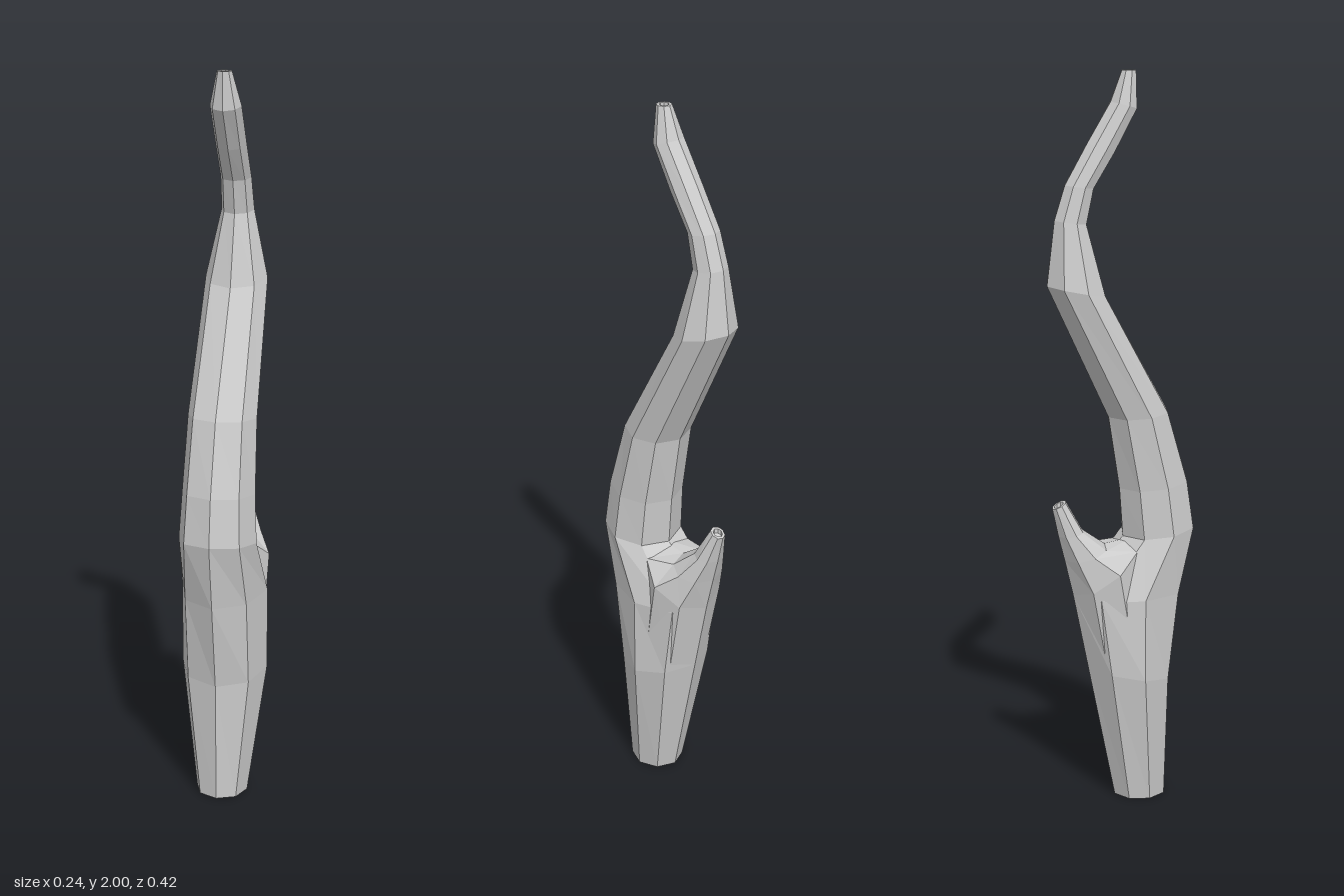
import * as THREE from 'three';

const SIDES = 8;
const material = new THREE.MeshStandardMaterial({ color: 0xcccccc, flatShading: true });

// Each ring is [front z, front y, back z, back y, half width]; a half width of 0 is a closing point.
function loft(name, rings) {
  const pos = [], index = [];
  for (const [fz, fy, bz, by, w] of rings) {
    for (let j = 0; j < SIDES; j++) {
      const a = (j / SIDES) * Math.PI * 2, t = (1 - Math.cos(a)) / 2;
      pos.push(w * Math.sin(a), fy + (by - fy) * t, fz + (bz - fz) * t);
    }
  }
  for (let i = 0; i < rings.length - 1; i++) {
    for (let j = 0; j < SIDES; j++) {
      const k = (j + 1) % SIDES;
      const a = i * SIDES + j, b = i * SIDES + k, c = b + SIDES, d = a + SIDES;
      if (rings[i][4] > 0) index.push(a, b, d);
      if (rings[i + 1][4] > 0) index.push(b, c, d);
      // a closing point needs the one triangle that keeps its outer edge
      if (rings[i][4] === 0) index.splice(index.length - 3, 3, a, c, d);
    }
  }
  const indexed = new THREE.BufferGeometry();
  indexed.setAttribute('position', new THREE.Float32BufferAttribute(pos, 3));
  indexed.setIndex(index);
  const geometry = indexed.toNonIndexed();
  geometry.computeVertexNormals();
  const mesh = new THREE.Mesh(geometry, material);
  mesh.name = name;
  return mesh;
}

// Shrunken copy of a ring, shifted in y, for rims and recessed ends.
function inset([fz, fy, bz, by, w], scale, dy = 0) {
  const z = (fz + bz) / 2, y = (fy + by) / 2;
  const s = (v, c) => c + (v - c) * scale;
  return [s(fz, z), s(fy, y) + dy, s(bz, z), s(by, y) + dy, w * scale];
}

export function createModel() {
  const group = new THREE.Group();
  group.name = 'antler';

  // Main beam: swollen base, backward sweep, forward-curving tip
  const base = [0.13, 0, -0.02, 0, 0.072];
  const tip = [0.042, 2, 0.002, 2, 0.02];
  group.add(loft('mainBeam', [
    inset(base, 0, 0.03), inset(base, 0.6, 0.03), inset(base, 0.65),
    base,
    [0.138, 0.344, -0.1, 0.39, 0.12],
    [0.18, 0.59, -0.143, 0.6, 0.12],
    [0.212, 0.775, 0.005, 0.75, 0.107],
    [0.193, 0.905, -0.005, 0.885, 0.1],
    [0.132, 1.1, -0.037, 1.085, 0.094],
    [-0.048, 1.418, -0.212, 1.45, 0.085],
    [-0.1, 1.608, -0.19, 1.62, 0.045],
    [-0.08, 1.7, -0.16, 1.71, 0.042],
    [-0.02, 1.79, -0.097, 1.815, 0.042],
    [0.042, 1.9, -0.03, 1.92, 0.042],
    tip,
    inset(tip, 0.65), inset(tip, 0.6, -0.015), inset(tip, 0, -0.015),
  ]));

  // Short rear prong growing out of the swollen base
  const prongTip = [-0.164, 0.868, -0.202, 0.848, 0.02];
  group.add(loft('rearProng', [
    [0.1, 0.4, -0.1, 0.39, 0.1],
    [0.04, 0.745, -0.143, 0.6, 0.11],
    [-0.05, 0.735, -0.167, 0.7, 0.075],
    [-0.116, 0.783, -0.185, 0.77, 0.045],
    prongTip,
    inset(prongTip, 0.65), inset(prongTip, 0.6, -0.012), inset(prongTip, 0, -0.012),
  ]));

  return group;
}
